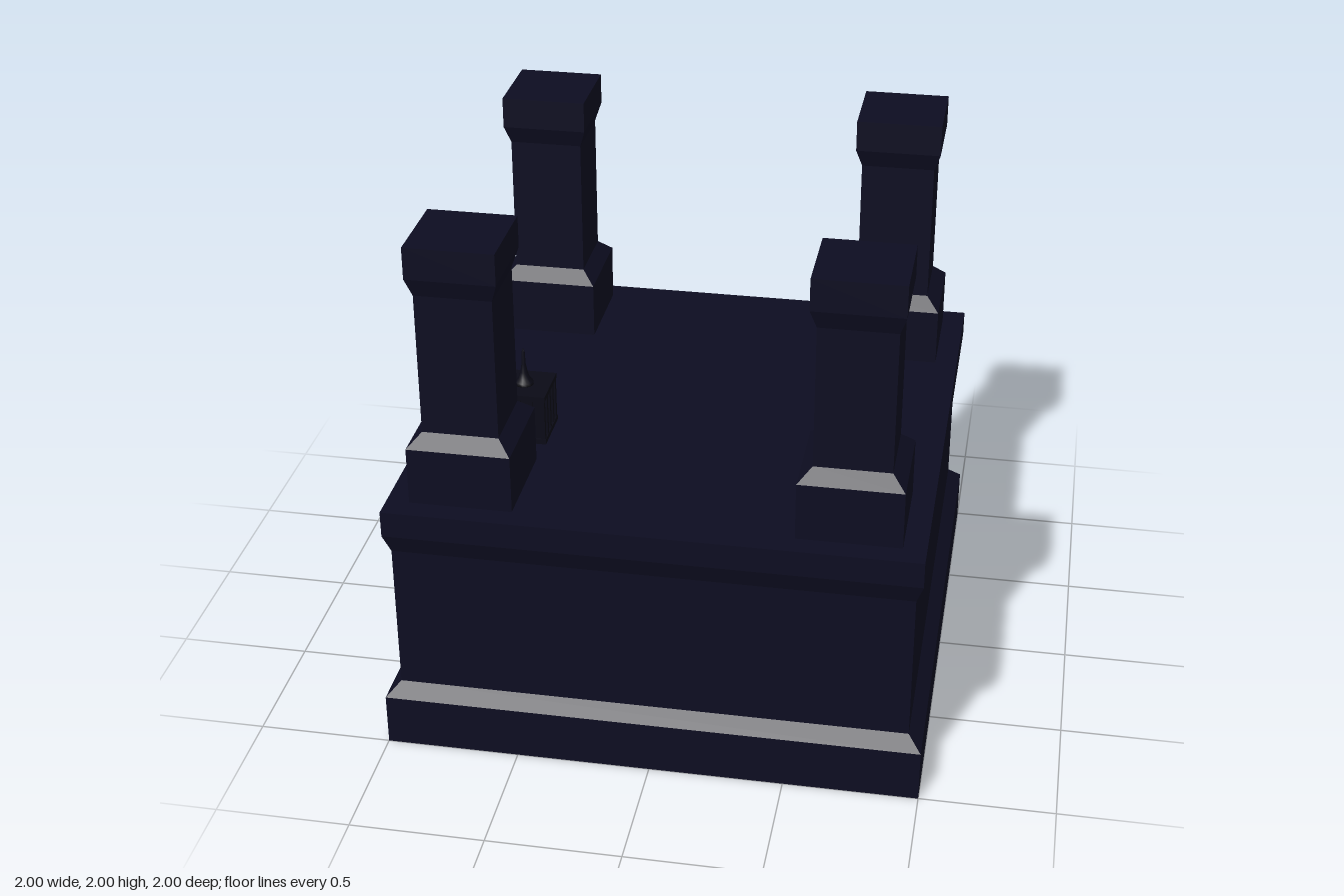
import * as THREE from 'three';

const stone = new THREE.MeshStandardMaterial({ color: 0x0d0d21 });
stone.name = 'dark stone';
const iron = new THREE.MeshStandardMaterial({ color: 0x0a0a16 });
iron.name = 'black iron';

// Square moulding: profile of [half width, y], closed at both ends, with flat faces
function squareTurned(name, profile, material) {
  const first = profile[0], last = profile[profile.length - 1];
  const points = [[0, first[1]], ...profile, [0, last[1]]]
    .map(([h, y]) => new THREE.Vector2(h * Math.SQRT2, y));
  const geometry = new THREE.LatheGeometry(points, 4, Math.PI / 4).toNonIndexed();
  geometry.computeVertexNormals();
  const mesh = new THREE.Mesh(geometry, material);
  mesh.name = name;
  return mesh;
}

function box(name, w, h, d, x, y, z) {
  const mesh = new THREE.Mesh(new THREE.BoxGeometry(w, h, d), iron);
  mesh.name = name;
  mesh.position.set(x, y, z);
  return mesh;
}

// Small barred lantern with a pointed finial
function createLantern() {
  const lantern = new THREE.Group();
  lantern.name = 'lantern';
  lantern.add(
    box('lanternCore', 0.18, 0.18, 0.18, 0, 0.1, 0),
    box('lanternFoot', 0.2, 0.02, 0.2, 0, 0.01, 0),
    box('lanternRoof', 0.2, 0.02, 0.2, 0, 0.19, 0)
  );
  // Upright bars on all four sides
  for (let side = 0; side < 4; side++) {
    const panel = new THREE.Group();
    panel.name = 'lanternSide';
    panel.rotation.y = side * Math.PI / 2;
    for (const x of [-0.09, -0.045, 0, 0.045, 0.09]) {
      panel.add(box('lanternBar', 0.016, 0.17, 0.012, x, 0.1, 0.092));
    }
    lantern.add(panel);
  }
  const profile = [[0, 0.2], [0.036, 0.2], [0.034, 0.212], [0.022, 0.225],
    [0.014, 0.25], [0.008, 0.285], [0.006, 0.335], [0, 0.35]]
    .map(([r, y]) => new THREE.Vector2(r, y));
  const finial = new THREE.Mesh(new THREE.LatheGeometry(profile, 12), iron);
  finial.name = 'lanternFinial';
  lantern.add(finial);
  return lantern;
}

export function createModel() {
  const model = new THREE.Group();
  model.name = 'pedestal';

  // Large plinth with a stepped foot and flared cornice
  model.add(squareTurned('plinth', [[1, 0], [1, 0.2], [0.95, 0.25], [0.95, 0.825],
    [0.975, 0.9], [0.975, 1]], stone));

  // Four corner pillars
  for (const x of [-0.7, 0.7]) {
    for (const z of [-0.7, 0.7]) {
      const pillar = squareTurned('cornerPillar', [[0.19, 1], [0.19, 1.22], [0.14, 1.27],
        [0.14, 1.81], [0.163, 1.88], [0.163, 2]], stone);
      pillar.position.set(x, 0, z);
      model.add(pillar);
    }
  }

  // Lantern standing on the right edge
  const lantern = createLantern();
  lantern.position.set(-0.6, 1, 0.3);
  model.add(lantern);
  return model;
}
